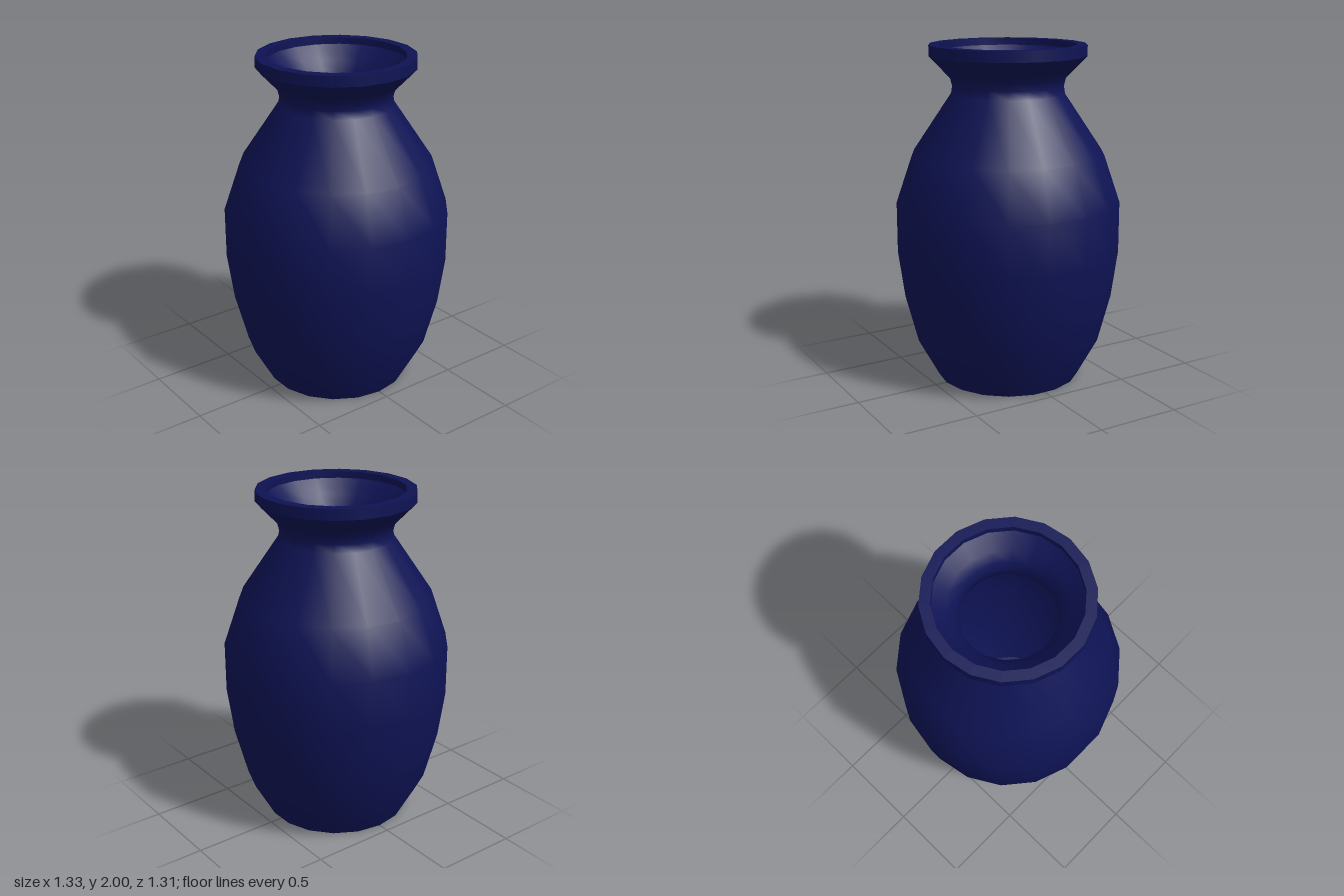
import * as THREE from 'three';

const SIDES = 18;

export function createModel() {
  const vase = new THREE.Group();
  vase.name = 'vase';
  const glaze = new THREE.MeshStandardMaterial({ color: 0x0e1354 });

  // Each section is its own lathe, so edges between sections stay sharp
  const addSection = (name, profile) => {
    const points = profile.map(([r, y]) => new THREE.Vector2(r, y));
    const mesh = new THREE.Mesh(new THREE.LatheGeometry(points, SIDES, Math.PI / 2), glaze);
    mesh.name = name;
    vase.add(mesh);
  };

  // Outside, from the foot up to the rim
  addSection('base', [[0, 0], [0.43, 0]]);
  addSection('body', [
    [0.43, 0], [0.55, 0.22], [0.625, 0.51], [0.663, 0.79], [0.663, 1.09],
    [0.567, 1.37], [0.335, 1.715], [0.327, 1.765], [0.338, 1.81], [0.372, 1.845], [0.46, 1.937],
  ]);
  addSection('lipBand', [[0.46, 1.937], [0.46, 2]]);
  addSection('rim', [[0.46, 2], [0.4, 2]]);

  // Inside, from the rim down to the floor
  addSection('innerLip', [[0.4, 2], [0.4, 1.96]]);
  addSection('innerWall', [
    [0.4, 1.96], [0.325, 1.885], [0.28, 1.83], [0.265, 1.765], [0.278, 1.69],
    [0.512, 1.34], [0.603, 1.08], [0.603, 0.79], [0.566, 0.52], [0.492, 0.24], [0.4, 0.06],
  ]);
  addSection('innerFloor', [[0.4, 0.06], [0, 0.06]]);

  return vase;
}
